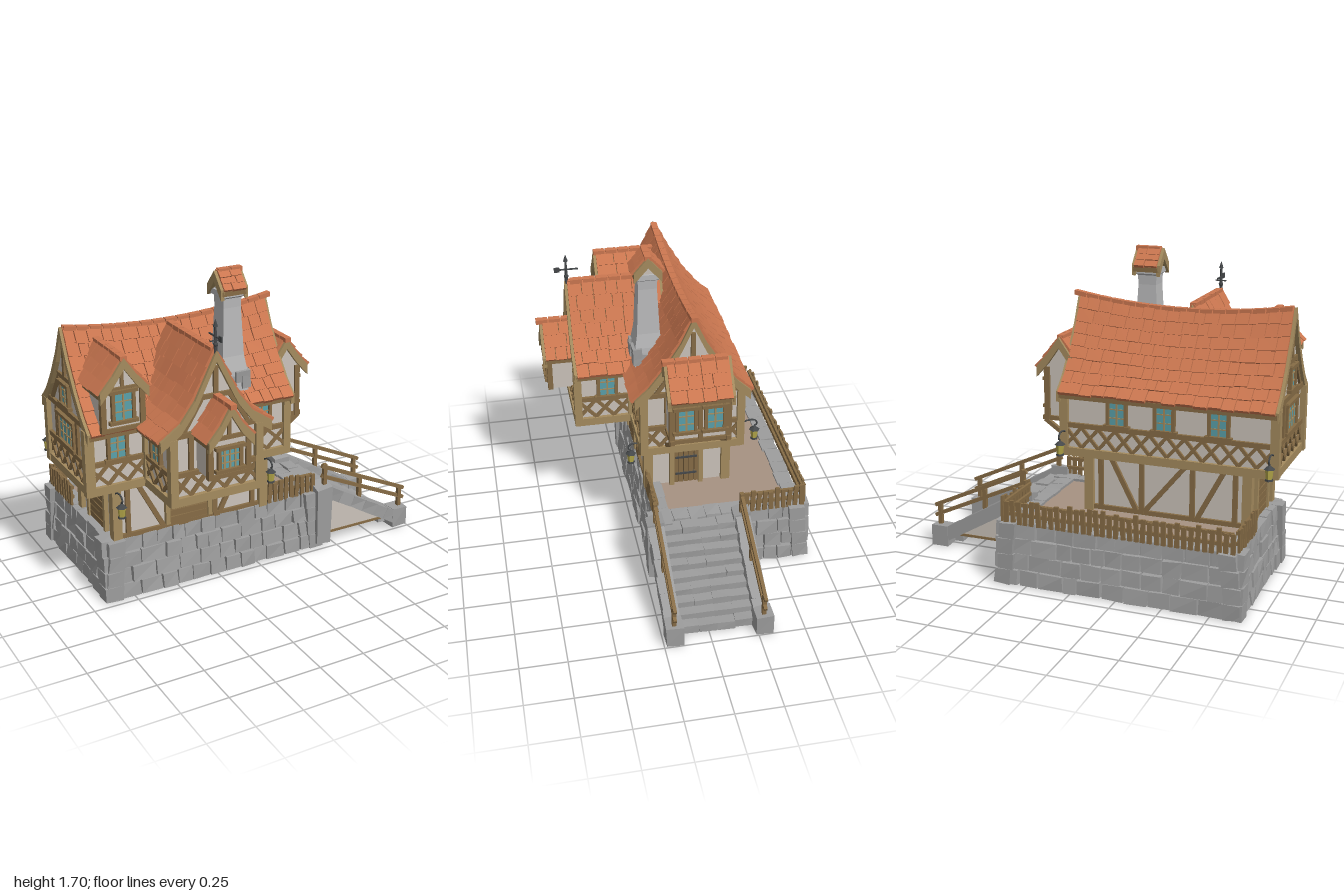
import * as THREE from 'three';
import { mergeGeometries } from 'three/addons/utils/BufferGeometryUtils.js';

const STONE = 0x9d9d9d, WOOD = 0x866c46, TRIM = 0xa48b5e, CREAM = 0xcbc3ba, TILE = 0xcb7750;
const GLASS = 0x5aa0aa, IRON = 0x45484a, FLOOR = 0xa69282, GLOW = 0xb5a84a, PALE = 0xb9b9ba;
const HALF = Math.PI / 2;

let seed, bins, M, warp;
const rnd = (a = 0, b = 1) => {
  seed = (seed * 16807) % 2147483647;
  return a + (b - a) * seed / 2147483647;
};

// Collects a geometry under a part name, in the current local frame
function add(name, color, geo, x = 0, y = 0, z = 0, rz = 0) {
  const g = geo.index ? geo.toNonIndexed() : geo;
  g.deleteAttribute('uv');
  if (rz) g.rotateZ(rz);
  g.translate(x, y, z);
  if (warp) warp(g.attributes.position);
  g.applyMatrix4(M);
  if (!bins.has(name)) bins.set(name, { color, list: [] });
  bins.get(name).list.push(g);
}
function within(x, y, z, ry, fn) {
  const old = M;
  M = old.clone().multiply(new THREE.Matrix4().makeRotationY(ry).setPosition(x, y, z));
  fn();
  M = old;
}
const box = (name, color, w, h, d, x, y, z, rz) => add(name, color, new THREE.BoxGeometry(w, h, d), x, y, z, rz);

// Beam between two points: w is its height, d its thickness
function beam(name, color, a, b, w = 0.025, d = w) {
  const p = new THREE.Vector3(...a), q = new THREE.Vector3(...b), len = p.distanceTo(q);
  const mid = p.clone().add(q).multiplyScalar(0.5);
  const upright = Math.hypot(q.x - p.x, q.z - p.z) < 1e-4;
  const g = upright ? new THREE.BoxGeometry(w, len, d) : new THREE.BoxGeometry(d, w, len);
  if (!upright) {
    const o = new THREE.Object3D();
    o.lookAt(q.sub(p));
    g.applyQuaternion(o.quaternion);
  }
  add(name, color, g, mid.x, mid.y, mid.z);
}

// Rough stone: a box with a chamfered outer (+z) face and shifted corners
function stone(name, w, h, d, x, y, z, rz = 0, lean = 0) {
  const g = new THREE.BoxGeometry(w, h, d), p = g.attributes.position;
  const j = Array.from({ length: 8 }, () => [rnd(0.86, 1), rnd(0.84, 1), rnd(0.85, 1.1)]);
  for (let i = 0; i < p.count; i++) {
    const k = j[(p.getX(i) > 0) + 2 * (p.getY(i) > 0) + 4 * (p.getZ(i) > 0)], out = p.getZ(i) > 0;
    const ny = p.getY(i) * (out ? k[1] : 1);
    p.setXYZ(i, p.getX(i) * (out ? k[0] : 1), ny, p.getZ(i) * (out ? k[2] : 1) - lean * (ny + y));
  }
  g.computeVertexNormals();
  add(name, STONE, g, x, y, z, rz);
}
function stoneWall(W, H, rows) {
  box('foundationCore', STONE, W - 0.12, H - 0.02, 0.05, 0, H / 2, -0.075);
  for (let r = 0; r < rows; r++) {
    const h = H / rows;
    for (let x = -W / 2; x < W / 2 - 0.001;) {
      let w = rnd(0.07, 0.15);
      if (W / 2 - x - w < 0.06) w = W / 2 - x;
      stone('foundationStones', w, h, 0.09, x + w / 2, h * (r + 0.5), -0.05 + rnd(-0.006, 0.006), 0, 0.09);
      x += w;
    }
  }
}

// Gabled volume: ridge along local z from 0 to len, half profile from ridge to eave
function gable(part, prof, o) {
  const { base, half, len, front = 0.02, back = 0, row = 0.075, sag = 0 } = o;
  const yAt = x => {
    for (let i = 1; i < prof.length; i++) {
      const [x0, y0] = prof[i - 1], [x1, y1] = prof[i];
      if (x <= x1 + 1e-6) return y0 + (y1 - y0) * (x - x0) / (x1 - x0);
    }
  };
  const line = dy => [...prof.slice(1).reverse().map(([x, y]) => [-x, y + dy]), ...prof.map(([x, y]) => [x, y + dy])];
  const extrude = (name, color, pts, z0, z1) => add(name, color, new THREE.ExtrudeGeometry(
    new THREE.Shape(pts.map(p => new THREE.Vector2(...p))), { depth: z1 - z0, steps: 8, bevelEnabled: false }), 0, 0, z0);
  const strip = (up, down) => [...line(down), ...line(up).reverse()];
  if (sag) warp = p => {
    for (let i = 0; i < p.count; i++) {
      const t = 2 * p.getZ(i) / len - 1;
      p.setY(i, p.getY(i) - sag * (1 - t * t) * Math.max(0, (p.getY(i) - 1) / 0.45));
    }
  };
  const inner = prof.filter(([x]) => x < half - 0.005).concat([[half, yAt(half)]]).map(([x, y]) => [x, y - 0.015]);
  extrude(part + 'Walls', CREAM, [[-half, base], [half, base], ...inner.slice().reverse(),
    ...inner.slice(1).map(([x, y]) => [-x, y])], back, len - front);
  extrude(part + 'RoofDeck', WOOD, strip(0, -0.025), 0.004, len - 0.004);
  extrude(part + 'Bargeboards', TRIM, strip(0.012, -0.045), len - 0.018, len + 0.004);
  extrude(part + 'Bargeboards', TRIM, strip(0.012, -0.045), -0.004, 0.018);
  // Overlapping rows of uneven tiles
  const curve = new THREE.CurvePath();
  for (let i = 1; i < prof.length; i++) curve.add(new THREE.LineCurve(new THREE.Vector2(...prof[i - 1]), new THREE.Vector2(...prof[i])));
  const total = curve.getLength(), rows = Math.max(2, Math.round(total / row));
  for (const s of [-1, 1]) for (let r = 0; r < rows; r++) {
    const a = curve.getPointAt(r / rows), b = curve.getPointAt((r + 1) / rows);
    const ang = Math.atan2(b.y - a.y, b.x - a.x), tileLen = a.distanceTo(b);
    for (let z = 0.01; z < len - 0.011;) {
      let w = rnd(0.05, 0.1);
      if (len - 0.01 - z - w < 0.04) w = len - 0.01 - z;
      const l = tileLen * rnd(1.1, 1.35);
      box(part + 'RoofTiles', TILE, l, rnd(0.014, 0.022), w - 0.004, s * ((a.x + b.x) / 2 + 0.006),
        (a.y + b.y) / 2 + 0.008, z + w / 2, s * (ang + 0.1 + rnd(-0.03, 0.03)));
      z += w;
    }
  }
  for (let z = 0.02; z < len - 0.03; z += 0.07)
    box(part + 'RoofTiles', TILE, 0.035, 0.025, 0.064, 0, prof[0][1] + 0.008, z + 0.03);
  warp = null;
}

// Timbered wall band with crossed braces, centred on the frame, facing +z
function timberBand(w, n) {
  const h = w / 2;
  beam('floorBeams', TRIM, [-h - 0.01, 0.66, 0], [h + 0.01, 0.66, 0], 0.045, 0.04);
  beam('bandRails', WOOD, [-h, 0.805, 0], [h, 0.805, 0], 0.026, 0.035);
  for (const x of [-h, h]) beam('cornerPosts', TRIM, [x, 0.64, 0], [x, 1.0, 0], 0.042);
  for (let i = 0; i < n; i++) {
    const a = -h + w * i / n, b = a + w / n;
    beam('crossBraces', WOOD, [a, 0.685, 0], [b, 0.795, 0], 0.018, 0.022);
    beam('crossBraces', WOOD, [a, 0.795, 0], [b, 0.685, 0], 0.018, 0.026);
  }
}

function windowUnit(w, h, cols = 2) {
  box('windowGlass', GLASS, w, h, 0.012, 0, 0, 0.004);
  for (const s of [-1, 1]) {
    box('windowFrames', WOOD, 0.018, h + 0.02, 0.03, s * w / 2, 0, 0.006);
    box('windowFrames', WOOD, w + 0.045, 0.018, 0.038, 0, s * h / 2, 0.008);
  }
  for (let i = 1; i < cols; i++) box('windowBars', TRIM, 0.009, h, 0.022, -w / 2 + w * i / cols, 0, 0.004);
  for (const y of [-h / 6, h / 6]) box('windowBars', TRIM, w, 0.006, 0.02, 0, y, 0.004);
}

function lantern() {
  const arm = new THREE.CatmullRomCurve3([[0, 0.06, -0.09], [0, 0.085, -0.05], [0, 0.085, 0], [0, 0.06, 0.015], [0, 0.05, 0]]
    .map(p => new THREE.Vector3(...p)));
  add('lanternBrackets', IRON, new THREE.TubeGeometry(arm, 12, 0.005, 5));
  add('lanternGlass', GLOW, new THREE.CylinderGeometry(0.022, 0.017, 0.05, 6));
  add('lanternCaps', IRON, new THREE.ConeGeometry(0.03, 0.025, 6), 0, 0.037);
  add('lanternCaps', IRON, new THREE.CylinderGeometry(0.02, 0.022, 0.01, 6), 0, -0.03);
}

function fence(x0, z0, x1, z1) {
  const n = Math.round(Math.hypot(x1 - x0, z1 - z0) / 0.036), ry = Math.atan2(z0 - z1, x1 - x0);
  for (const y of [0.385, 0.44]) beam('fenceRails', WOOD, [x0, y, z0], [x1, y, z1], 0.018, 0.014);
  for (let i = 0; i <= n; i++) within(x0 + (x1 - x0) * i / n, 0, z0 + (z1 - z0) * i / n, ry, () => {
    const h = rnd(0.11, 0.14);
    box('fencePickets', WOOD, 0.024, h, 0.012, 0, 0.335 + h / 2, 0.012, rnd(-0.06, 0.06));
  });
}

function boardDoor(w, h) {
  for (let i = 0; i < 7; i++) box('boardedDoor', WOOD, w, h / 7 - 0.005, 0.02, 0, h * (i + 0.5) / 7, rnd(0, 0.006), rnd(-0.015, 0.015));
  for (const s of [-1, 1]) box('doorPosts', TRIM, 0.025, h, 0.035, s * w / 2, h / 2, 0.004);
}

export function createModel() {
  seed = 4217; bins = new Map(); M = new THREE.Matrix4(); warp = null;

  // Hollow stone foundation and terrace floor
  for (const [x, z, ry, W] of [[-0.245, 0.22, 0, 1.35], [-0.245, -0.68, Math.PI, 1.35], [0.43, -0.23, HALF, 0.9], [-0.92, -0.23, -HALF, 0.9]])
    within(x, 0, z, ry, () => stoneWall(W, 0.345, 4));
  box('terraceFloor', FLOOR, 1.2, 0.03, 0.78, -0.245, 0.315, -0.23);

  // Stairs with stone stringers, side panels and handrails
  for (let i = 0; i < 9; i++) for (let k = 0; k < 4; k++)
    stone('stairSteps', 0.075, 0.05, 0.1, 0.44 + i * 0.056, 0.315 - i * 0.036 + rnd(-0.004, 0.004), 0.105 - k * 0.098);
  for (const z of [0.195, -0.28]) {
    stone('stairPedestals', 0.1, 0.39, 0.09, 0.42, 0.195, z);
    stone('stairPedestals', 0.1, 0.12, 0.095, 0.95, 0.06, z);
    for (let i = 0; i < 6; i++) stone('stairStringers', 0.1, 0.075, 0.085, 0.49 + i * 0.08, 0.312 - i * 0.046, z, -0.52);
    const tri = new THREE.Shape([[0.4, 0.07], [0.86, 0.07], [0.43, 0.33], [0.4, 0.33]].map(p => new THREE.Vector2(...p)));
    add('stairSidePanels', CREAM, new THREE.ExtrudeGeometry(tri, { depth: 0.02, bevelEnabled: false }), 0, 0, z - 0.01);
    beam('panelTrim', WOOD, [0.4, 0.07, z], [0.86, 0.07, z], 0.014, 0.03);
    for (const [x, y] of [[0.44, 0.36], [0.68, 0.22], [0.965, 0.1]]) beam('handrailPosts', WOOD, [x, y, z], [x, y + 0.14, z], 0.022);
    for (const d of [0, -0.06]) beam('handrails', WOOD, [0.42, 0.49 + d, z], [0.995, 0.225 + d, z], 0.02, 0.018);
  }

  // Terrace fences
  fence(0.09, 0.17, 0.37, 0.17);
  fence(0.38, -0.32, 0.38, -0.63);
  fence(0.36, -0.64, -0.86, -0.64);
  fence(-0.87, -0.62, -0.87, -0.32);

  // Ground floor
  box('groundFloorWalls', CREAM, 0.87, 0.33, 0.44, -0.39, 0.485, -0.055);
  for (const x of [-0.825, 0.045]) for (const z of [0.165, -0.275]) beam('groundPosts', TRIM, [x, 0.33, z], [x, 0.645, z], 0.05);
  for (const [z, ry] of [[0.168, 0], [-0.278, Math.PI]]) within(-0.39, 0, z, ry, () => {
    beam('groundTimbers', WOOD, [-0.42, 0.35, 0], [0.42, 0.35, 0], 0.025);
    for (const s of [-1, 1]) {
      for (const x of [0.14, 0.37]) beam('groundTimbers', WOOD, [s * x, 0.34, 0], [s * x, 0.64, 0], 0.026);
      beam('groundTimbers', WOOD, [s * 0.17, 0.36, 0], [s * 0.31, 0.63, 0], 0.026);
    }
    if (!ry) within(-0.02, 0.36, 0, 0, () => boardDoor(0.25, 0.27));
    else beam('groundTimbers', WOOD, [-0.12, 0.36, 0], [0.1, 0.63, 0], 0.026);
  });
  within(-0.828, 0.34, -0.05, -HALF, () => boardDoor(0.22, 0.27));
  within(0.05, 0, -0.05, HALF, () => {
    for (let i = 0; i < 5; i++) box('frontDoor', WOOD, 0.026, 0.23, 0.02, -0.06 + i * 0.03, 0.455, 0.004);
    for (const s of [-1, 1]) beam('doorFrame', TRIM, [s * 0.082, 0.33, 0.01], [s * 0.082, 0.59, 0.01], 0.026);
    box('doorFrame', WOOD, 0.21, 0.026, 0.045, 0, 0.58, 0.012);
    for (const y of [0.4, 0.51]) box('doorHinges', IRON, 0.12, 0.012, 0.026, 0, y, 0.006);
  });

  // Upper storey, front wing, dormer and projecting bays
  within(-0.99, 0, -0.06, HALF, () => gable('main', [[0, 1.45], [0.07, 1.3], [0.16, 1.155], [0.24, 1.05], [0.315, 0.98]],
    { base: 0.64, half: 0.265, len: 1.18, back: 0.02, sag: 0.05 }));
  within(-0.42, 0, 0.0, 0, () => gable('wing', [[0, 1.41], [0.05, 1.31], [0.12, 1.17], [0.2, 1.065], [0.31, 0.99]],
    { base: 0.64, half: 0.24, len: 0.53 }));
  within(-0.815, 0, -0.04, 0, () => gable('dormer', [[0, 1.375], [0.06, 1.29], [0.13, 1.21]], { base: 1.0, half: 0.105, len: 0.36, front: 0.035 }));
  within(-0.42, 0, 0.48, 0, () => gable('frontBay', [[0, 1.18], [0.06, 1.08], [0.125, 1.005]], { base: 0.81, half: 0.105, len: 0.2, front: 0.03 }));
  within(0.235, 0, -0.245, 0, () => gable('sideBay', [[0, 1.235], [0.06, 1.15], [0.13, 1.07]], { base: 0.79, half: 0.08, len: 0.35, front: 0.02, back: 0.02 }));
  for (const [x, z, ry, w, n] of [[-0.82, 0.205, 0, 0.32, 3], [-0.005, 0.205, 0, 0.35, 3], [-0.42, 0.515, 0, 0.48, 5],
    [-0.66, 0.365, -HALF, 0.3, 3], [-0.18, 0.365, HALF, 0.3, 3], [0.17, -0.06, HALF, 0.53, 6],
    [-0.97, -0.06, -HALF, 0.53, 6], [-0.405, -0.325, Math.PI, 1.14, 12]]) within(x, 0, z, ry, () => timberBand(w, n));

  // Gable framing
  for (const [x, z, ry, s, top] of [[-0.42, 0.512, 0, 0.22, 1.37], [0.172, -0.06, HALF, 0.24, 1.4], [-0.972, -0.06, -HALF, 0.24, 1.4]])
    within(x, 0, z, ry, () => {
      beam('gableTimbers', WOOD, [-s, 1.01, 0], [s, 1.01, 0], 0.028);
      beam('gableTimbers', WOOD, [-0.09, 1.19, 0], [0.09, 1.19, 0], 0.024);
      beam('gableTimbers', WOOD, [0, 1.19, 0], [0, top - 0.03, 0], 0.024);
      for (const k of [-1, 1]) {
        beam('gableTimbers', WOOD, [k * 0.14, 0.82, 0], [k * 0.14, 1.0, 0], 0.026);
        beam('gableTimbers', WOOD, [k * s * 0.85, 1.01, 0], [k * 0.08, 1.18, 0], 0.022);
      }
    });
  for (const [x, z, half, y0, y1, y2] of [[-0.815, 0.285, 0.105, 1.0, 1.22, 1.35], [-0.42, 0.65, 0.105, 0.81, 1.02, 1.15]]) {
    for (const s of [-1, 1]) beam('bayPosts', WOOD, [x + s * half, y0, z], [x + s * half, y1, z], 0.028);
    for (const y of [y0 + 0.01, y1]) beam('baySills', WOOD, [x - half, y, z], [x + half, y, z], 0.022);
    beam('bayPosts', WOOD, [x, y1, z], [x, y2, z], 0.018);
  }
  for (const z of [0.08, -0.225]) {
    beam('bayPosts', WOOD, [0.31, 0.79, z], [0.31, 1.08, z], 0.03);
    beam('baySills', WOOD, [0.17, 0.8, z], [0.335, 0.8, z], 0.024);
    beam('bayBrackets', WOOD, [0.18, 0.69, z], [0.325, 0.79, z], 0.022);
  }
  for (const y of [0.8, 1.06]) beam('baySills', WOOD, [0.315, y, -0.24], [0.315, y, 0.095], 0.024);
  beam('bayPosts', WOOD, [0.315, 0.8, -0.072], [0.315, 1.06, -0.072], 0.024);

  // Windows
  for (const [x, y, z, ry, w, h, c] of [[-0.82, 0.885, 0.205, 0, 0.1, 0.14, 2], [0.015, 0.885, 0.205, 0, 0.1, 0.14, 2],
    [-0.815, 1.13, 0.285, 0, 0.11, 0.16, 2], [-0.42, 0.91, 0.65, 0, 0.12, 0.12, 4],
    [-0.18, 0.885, 0.35, HALF, 0.1, 0.14, 2], [-0.66, 0.885, 0.35, -HALF, 0.1, 0.14, 2],
    [0.315, 0.935, 0.005, HALF, 0.1, 0.15, 2], [0.315, 0.935, -0.15, HALF, 0.1, 0.15, 2],
    [-0.97, 0.9, -0.06, -HALF, 0.2, 0.15, 4], [-0.97, 1.1, -0.06, -HALF, 0.1, 0.12, 2],
    ...[-0.13, -0.39, -0.68].map(x => [x, 0.89, -0.325, Math.PI, 0.1, 0.14, 2])])
    within(x, y, z, ry, () => windowUnit(w, h, c));

  // Chimney with a small tiled cap
  within(-0.142, 0, 0.13, Math.PI / 4, () => add('chimneyShaft', PALE, new THREE.LatheGeometry(
    [[0, 1.02], [0.08, 1.02], [0.075, 1.16], [0.062, 1.24], [0.05, 1.5], [0.052, 1.55], [0.066, 1.56], [0.066, 1.59], [0, 1.59]]
      .map(([r, y]) => new THREE.Vector2(r * Math.SQRT2, y)), 4)));
  for (let i = 0; i < 4; i++) within(-0.142, 0, 0.13, i * HALF, () => {
    for (const x of [-0.045, 0.045]) stone('chimneyFootStones', 0.09, 0.07, 0.05, x, 1.09 + rnd(0, 0.04), 0.065);
  });
  within(-0.217, 0, 0.13, HALF, () => gable('chimneyCap', [[0, 1.68], [0.075, 1.595]], { base: 1.58, half: 0.04, len: 0.15, back: 0.02, row: 0.045 }));

  // Weather vane
  within(-0.42, 0, 0.52, 0, () => {
    add('weatherVane', IRON, new THREE.CylinderGeometry(0.005, 0.01, 0.16, 6), 0, 1.48);
    add('weatherVane', IRON, new THREE.ConeGeometry(0.013, 0.04, 6), 0, 1.56);
    add('weatherVane', IRON, new THREE.SphereGeometry(0.013, 8, 6), 0, 1.45);
    beam('weatherVane', IRON, [0, 1.49, -0.065], [0, 1.49, 0.065], 0.007);
    beam('weatherVane', IRON, [0, 1.49, 0.035], [0, 1.49, 0.065], 0.028, 0.006);
    beam('weatherVane', IRON, [-0.03, 1.47, 0], [0.03, 1.47, 0], 0.006);
  });

  // Hanging lanterns
  for (const [x, y, z, ry] of [[-0.83, 0.54, 0.26, 0], [0.05, 0.54, 0.26, 0], [-0.965, 0.69, -0.41, Math.PI], [0.16, 0.69, -0.41, Math.PI]])
    within(x, y, z, ry, lantern);

  const model = new THREE.Group();
  model.name = 'timberedHouse';
  for (const [name, { color, list }] of bins) {
    const mesh = new THREE.Mesh(mergeGeometries(list), new THREE.MeshStandardMaterial({ color, flatShading: true }));
    mesh.name = name;
    model.add(mesh);
  }
  return model;
}
